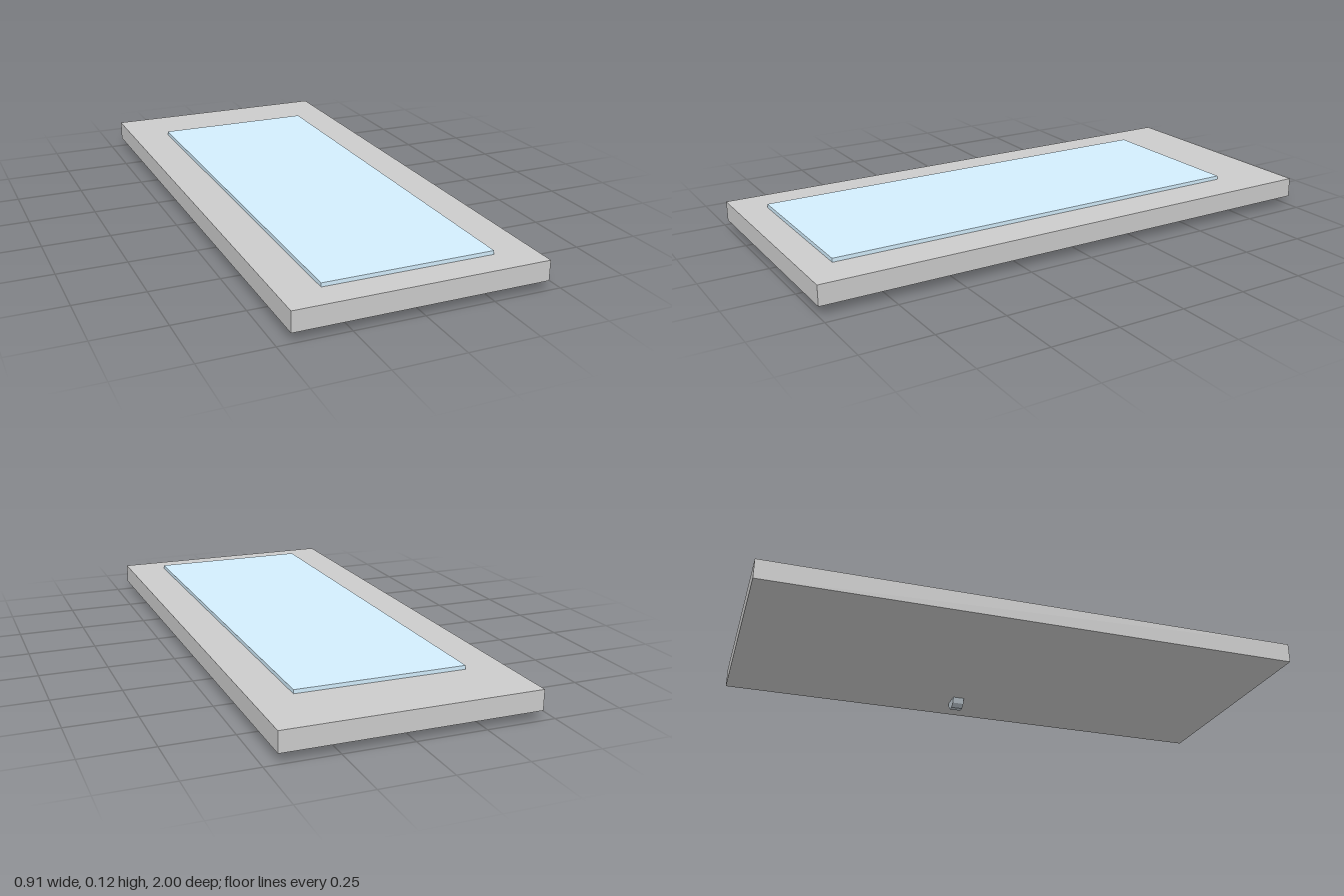
import * as THREE from 'three';

const material = (color) => new THREE.MeshStandardMaterial({ color, flatShading: true });

// Box given by its lower and upper bounds on each axis
function box(name, [x0, x1], [y0, y1], [z0, z1], color) {
  const mesh = new THREE.Mesh(new THREE.BoxGeometry(x1 - x0, y1 - y0, z1 - z0), material(color));
  mesh.name = name;
  mesh.position.set((x0 + x1) / 2, (y0 + y1) / 2, (z0 + z1) / 2);
  return mesh;
}

export function createModel() {
  const group = new THREE.Group();
  group.name = 'door';

  // Door leaf lying flat, with a raised glass pane on its upper face
  group.add(box('doorSlab', [-0.453, 0.453], [0.035, 0.108], [-1, 1], 0xcccccc));
  group.add(box('glassPane', [-0.308, 0.308], [0.07, 0.122], [-0.747, 0.89], 0xd3eefd));

  // Ten-sided knob, half sunk into the underside, axis along z
  const knobGeometry = new THREE.CylinderGeometry(0.0365, 0.0365, 0.044, 10);
  knobGeometry.rotateY(Math.PI / 2).rotateX(Math.PI / 2);
  const knob = new THREE.Mesh(knobGeometry, material(0xbdc8d0));
  knob.name = 'knob';
  knob.position.set(0.308, 0.0347, -0.091);
  group.add(knob);

  return group;
}
